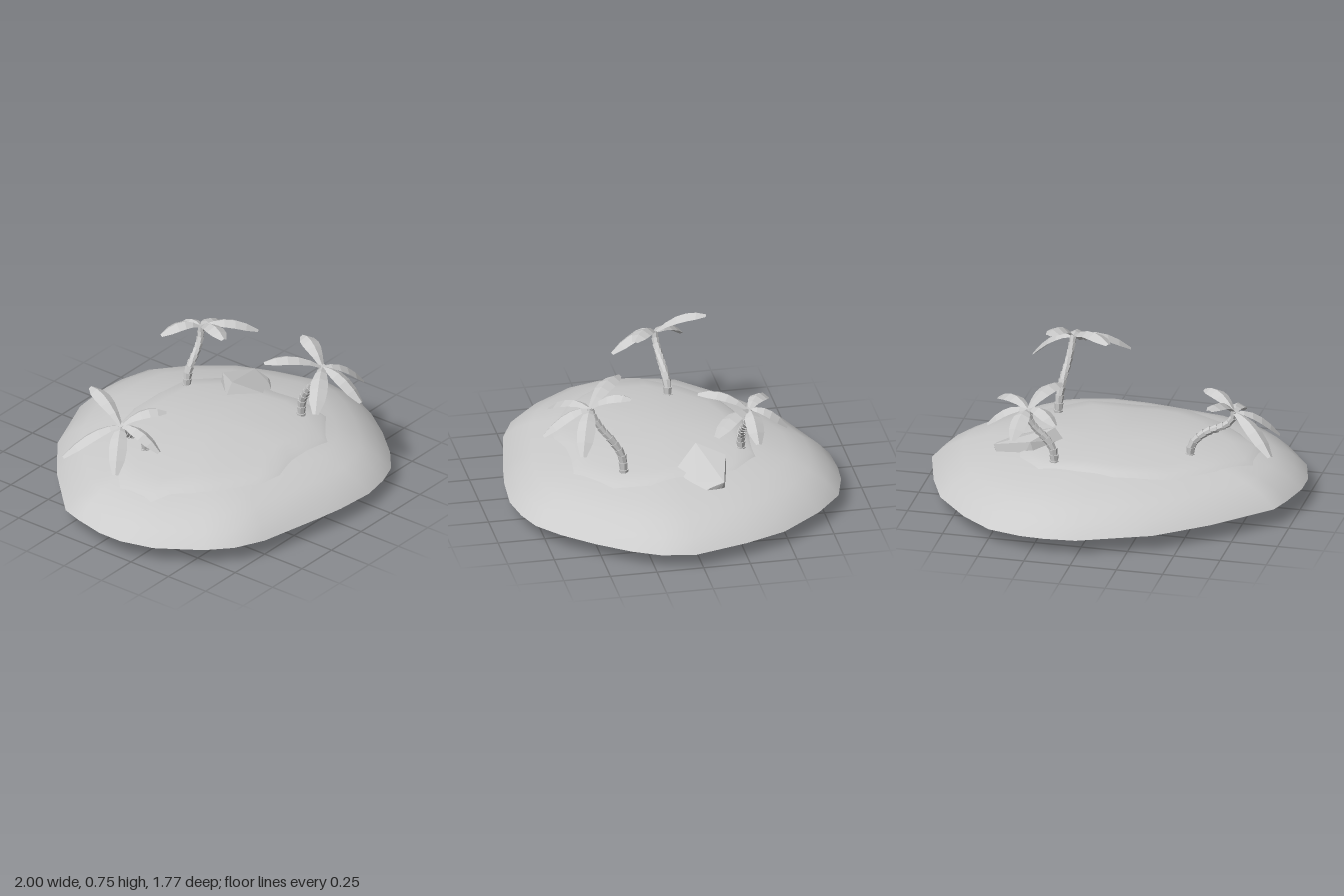
import * as THREE from 'three';
import { ConvexGeometry } from 'three/addons/geometries/ConvexGeometry.js';

const V = (p) => new THREE.Vector3(...p);
const smooth = new THREE.MeshStandardMaterial({ color: 0xcccccc, side: THREE.DoubleSide });
const faceted = new THREE.MeshStandardMaterial({ color: 0xcccccc, side: THREE.DoubleSide, flatShading: true });

// Shore line and grass edge as [x, z], starting at the back
const shore = [[0, -.88], [.17, -.89], [.3, -.88], [.48, -.83], [.65, -.69], [.83, -.47], [.92, -.25], [1, .04],
  [.97, .22], [.9, .36], [.78, .53], [.64, .69], [.51, .8], [.38, .85], [.22, .88], [0, .865], [-.15, .84],
  [-.52, .765], [-.68, .69], [-.8, .58], [-.95, .36], [-1, .18], [-1, .04], [-.96, -.13], [-.92, -.25],
  [-.64, -.53], [-.38, -.73], [-.2, -.8]];
const grass = [[-.1, -.46], [.1, -.45], [.33, -.44], [.47, -.3], [.53, -.12], [.52, .04], [.56, .2], [.52, .4], [.3, .58],
  [.12, .56], [0, .56], [-.15, .6], [-.3, .58], [-.5, .45], [-.62, .34], [-.79, .2], [-.78, -.02], [-.62, -.2],
  [-.42, -.38], [-.25, -.43]];

// Dome height as a function of the fraction of the way to the shore
const profile = [[0, .322], [.3, .31], [.5, .285], [.7, .25], [.83, .208], [.93, .155], [1, .09]];
function domeHeight(f) {
  for (let i = 1; i < profile.length; i++) {
    const [f0, y0] = profile[i - 1], [f1, y1] = profile[i];
    if (f <= f1) return y0 + (y1 - y0) * (f - f0) / (f1 - f0);
  }
  return .09;
}
function shoreFraction(x, z) {
  let f = 0;
  shore.forEach(([ax, az], i) => {
    const [bx, bz] = shore[(i + 1) % shore.length];
    const nx = bz - az, nz = ax - bx;
    f = Math.max(f, (nx * x + nz * z) / (nx * ax + nz * az));
  });
  return f;
}

// Domed sheet made of scaled copies of an outline
function sheet(name, outline, rings, height) {
  const pos = [0, height(0, 0, 0), 0], idx = [], n = outline.length;
  rings.forEach((f, r) => outline.forEach(([x, z], i) => {
    pos.push(x * f, height(x * f, z * f, f), z * f);
    const j = (i + 1) % n, a = 1 + r * n + i, b = 1 + r * n + j;
    if (r === 0) idx.push(0, b, a);
    else idx.push(a - n, b - n, b, a - n, b, a);
  }));
  const g = new THREE.BufferGeometry();
  g.setAttribute('position', new THREE.Float32BufferAttribute(pos, 3));
  g.setIndex(idx);
  g.computeVertexNormals();
  const mesh = new THREE.Mesh(g, smooth);
  mesh.name = name;
  return mesh;
}

// Curved trunk of flared rings
function trunk(points) {
  const group = new THREE.Group(), curve = new THREE.CatmullRomCurve3(points.map(V)), n = 11;
  group.name = 'trunk';
  for (let i = 0; i < n; i++) {
    const a = curve.getPointAt(i / n), b = curve.getPointAt((i + 1) / n);
    const r = .026 - .007 * i / n, dir = b.clone().sub(a);
    const ring = new THREE.Mesh(new THREE.CylinderGeometry(r, r * .78, dir.length() * 1.15, 7), faceted);
    ring.name = 'trunkRing';
    ring.position.copy(a).add(b).multiplyScalar(.5);
    ring.quaternion.setFromUnitVectors(new THREE.Vector3(0, 1, 0), dir.normalize());
    ring.rotateY(i * .7);
    group.add(ring);
  }
  return group;
}

// Arched leaf folded along its middle rib
function frond(crown, tip) {
  const mid = crown.clone().lerp(tip, .5);
  mid.y += .095;
  const curve = new THREE.QuadraticBezierCurve3(crown, mid, tip);
  const widths = [.012, .03, .044, .048, .042, .016], pos = [], idx = [];
  widths.forEach((w, i) => {
    const t = i / (widths.length - 1), p = curve.getPoint(t), d = curve.getTangent(t);
    const side = new THREE.Vector3(-d.z, 0, d.x).normalize();
    const up = side.clone().cross(d).normalize();
    if (up.y < 0) up.negate();
    for (const s of [-1, 0, 1]) {
      const q = p.clone().addScaledVector(side, s * w).addScaledVector(up, s ? -w * .5 : 0);
      pos.push(q.x, q.y, q.z);
    }
    if (i) for (const k of [0, 1]) {
      const a = (i - 1) * 3 + k;
      idx.push(a, a + 3, a + 1, a + 1, a + 3, a + 4);
    }
  });
  // Normals point up for the ribs' upper side
  for (let i = 0; i < idx.length; i += 3) [idx[i + 1], idx[i + 2]] = [idx[i + 2], idx[i + 1]];
  const g = new THREE.BufferGeometry();
  g.setAttribute('position', new THREE.Float32BufferAttribute(pos, 3));
  g.setIndex(idx);
  g.computeVertexNormals();
  const mesh = new THREE.Mesh(g, faceted);
  mesh.name = 'frond';
  return mesh;
}

function palm(name, path, tips) {
  const group = new THREE.Group();
  group.name = name;
  group.add(trunk(path));
  for (const t of tips) group.add(frond(V(path[path.length - 1]), V(t)));
  return group;
}

export function createModel() {
  const model = new THREE.Group();
  model.name = 'palmIsland';

  // Sand shell, open below, with a slightly raised grass layer
  model.add(sheet('sand', shore, profile.slice(1).map((p) => p[0]),
    (x, z, f) => domeHeight(f) - .01 * x * f));
  model.add(sheet('grass', grass, [.3, .55, .75, .9, 1],
    (x, z, f) => domeHeight(shoreFraction(x, z)) - .01 * x + (f > .95 ? -.012 : .014)));

  // Boulder running through the shell
  const rock = new THREE.Mesh(new ConvexGeometry([
    [.3, .38, -.1], [.25, .31, -.1], [.45, .28, .06], [.4, .345, -.24], [.55, .28, -.05], [.615, .265, -.11],
    [.61, .29, -.19], [.39, 0, .13], [.57, .04, -.1], [.52, .06, -.23], [.56, .1, .19], [.61, .1, .05],
    [.33, .12, -.24], [.31, .12, -.06]].map(V)), faceted);
  rock.name = 'rock';
  model.add(rock);

  // Three palms leaning outward
  model.add(palm('rightPalm',
    [[-.43, .27, -.1], [-.44, .36, -.1], [-.51, .43, -.09], [-.6, .47, -.085], [-.65, .51, -.08], [-.665, .56, -.08]],
    [[-.91, .41, -.28], [-.59, .67, -.34], [-.88, .4, .05], [-.64, .47, .16], [-.47, .61, .07]]));
  model.add(palm('frontPalm',
    [[.38, .26, .3], [.375, .38, .31], [.365, .47, .36], [.355, .53, .41], [.345, .6, .45], [.34, .66, .475]],
    [[.1, .72, .27], [.43, .74, .27], [.07, .55, .64], [.35, .53, .73], [.58, .5, .56]]));
  model.add(palm('backPalm',
    [[.24, .27, -.355], [.25, .37, -.355], [.29, .43, -.355], [.34, .48, -.36], [.37, .53, -.365], [.38, .59, -.37]],
    [[.26, .65, -.12], [.2, .57, -.5], [.42, .49, -.57], [.6, .49, -.38], [.59, .55, -.15]]));

  return model;
}
